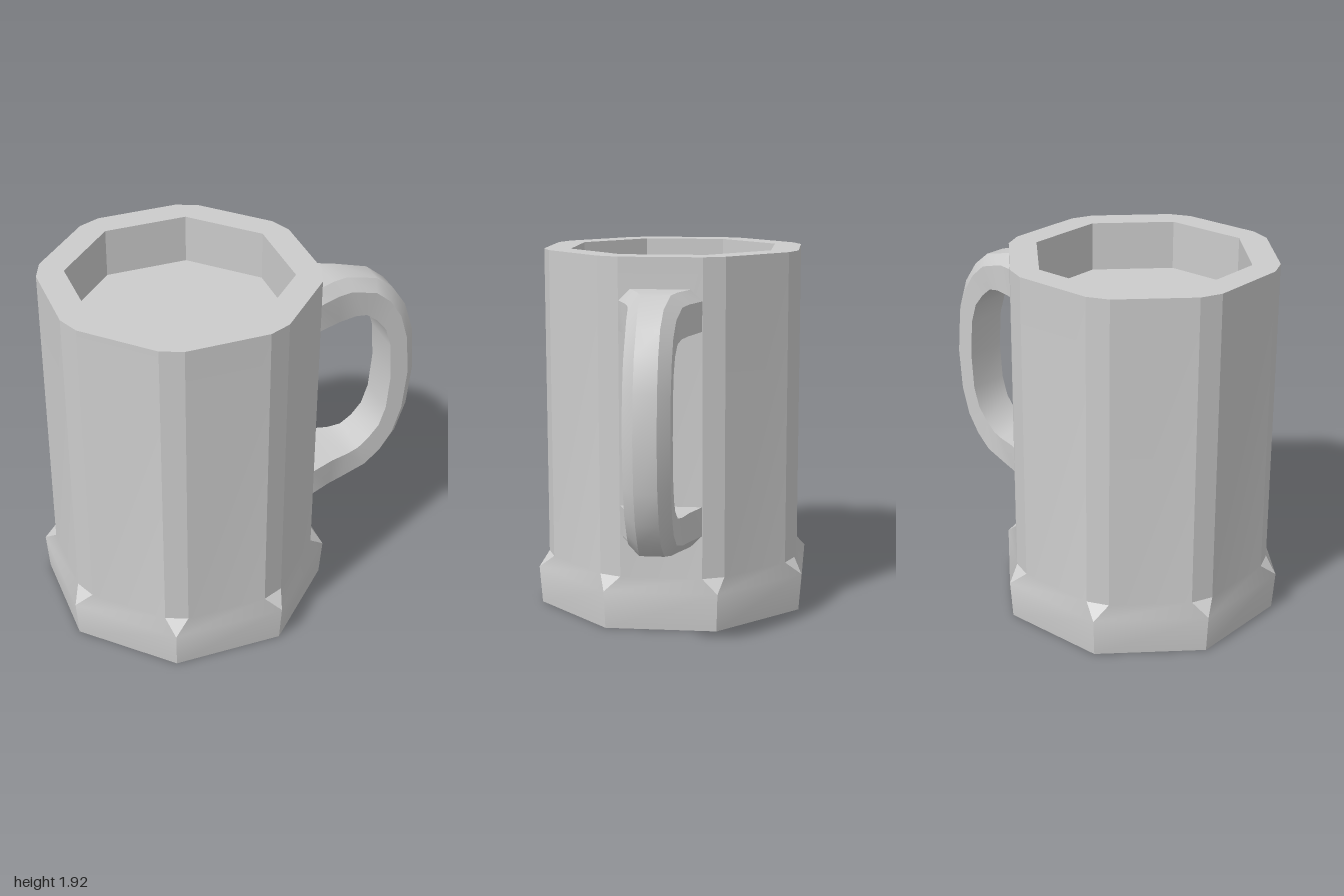
import * as THREE from 'three';
import { mergeGeometries } from 'three/addons/utils/BufferGeometryUtils.js';

const CENTRE_Z = 0.23;
const HEIGHT = 1.92;

// Skins closed rings of points. Every side is its own strip, so lengthwise
// edges stay sharp; a strip is smooth along its length unless isFlat(side).
function skin(rings, isFlat = () => false) {
  const count = rings[0].length;
  const parts = [];
  const addStrip = (rows, j) => {
    const pos = [], index = [];
    rows.forEach((ring, i) => {
      pos.push(...ring[j], ...ring[(j + 1) % count]);
      if (i > 0) {
        const a = 2 * i - 2;
        index.push(a, a + 2, a + 1, a + 2, a + 3, a + 1);
      }
    });
    const geo = new THREE.BufferGeometry();
    geo.setAttribute('position', new THREE.Float32BufferAttribute(pos, 3));
    geo.setIndex(index);
    geo.computeVertexNormals();
    parts.push(geo);
  };
  for (let j = 0; j < count; j++) {
    if (isFlat(j)) {
      for (let i = 1; i < rings.length; i++) addStrip([rings[i - 1], rings[i]], j);
    } else addStrip(rings, j);
  }
  return mergeGeometries(parts);
}

// Octagon whose corners are cut to a facet of half-width w at radius r
function cutOctagon(r, w, y) {
  const ring = [];
  for (let k = 0; k < 8; k++) {
    const c = Math.cos(k * Math.PI / 4), s = Math.sin(k * Math.PI / 4);
    for (const v of [-w, w]) ring.push([r * c - v * s, y, r * s + v * c]);
  }
  return ring;
}

export function createModel() {
  const model = new THREE.Group();
  const material = new THREE.MeshStandardMaterial({ color: 0xcccccc });
  const add = (name, geo, y = 0, mat = material) => {
    const mesh = new THREE.Mesh(geo, mat);
    mesh.name = name;
    mesh.position.set(0, y, CENTRE_Z);
    model.add(mesh);
    return mesh;
  };

  // Body: sharp-cornered foot running into a wall with cut corners
  add('body', skin([
    cutOctagon(0.755, 0, 0),
    cutOctagon(0.77, 0, 0.2),
    cutOctagon(0.70, 0.06, 0.27),
    cutOctagon(0.70, 0.06, HEIGHT),
  ], j => j % 2 === 0));
  add('base', new THREE.CircleGeometry(0.755, 8).rotateX(Math.PI / 2));

  // Rim with an octagonal opening
  const innerR = 0.57, depth = 0.26;
  const rim = new THREE.Shape(cutOctagon(0.70, 0.06, 0).map(p => new THREE.Vector2(p[0], p[2])));
  const hole = [];
  for (let k = 0; k < 8; k++) {
    hole.push(new THREE.Vector2(innerR * Math.cos(k * Math.PI / 4), innerR * Math.sin(k * Math.PI / 4)));
  }
  rim.holes.push(new THREE.Path(hole));
  add('rim', new THREE.ShapeGeometry(rim).rotateX(-Math.PI / 2), HEIGHT);

  // Shallow well and the surface of the drink
  const wellMaterial = new THREE.MeshStandardMaterial({
    color: 0xcccccc, flatShading: true, side: THREE.BackSide,
  });
  add('innerWall', new THREE.CylinderGeometry(innerR, innerR, depth, 8, 1, true), HEIGHT - depth / 2, wellMaterial);
  add('drinkSurface', new THREE.CircleGeometry(innerR, 8).rotateX(-Math.PI / 2), HEIGHT - depth);

  // Handle: upper half as [outer reach, outer y, inner reach, inner y, half-width]
  const upper = [
    [0.62, 1.76, 0.62, 1.55, 0.21],
    [0.67, 1.76, 0.67, 1.55, 0.21],
    [0.79, 1.758, 0.81, 1.547, 0.157],
    [0.87, 1.752, 0.91, 1.545, 0.133],
    [1.05, 1.706, 0.98, 1.53, 0.12],
    [1.15, 1.626, 1.043, 1.48, 0.115],
    [1.23, 1.51, 1.10, 1.41, 0.115],
    [1.286, 1.34, 1.135, 1.30, 0.115],
    [1.307, 1.10, 1.15, 1.10, 0.115],
  ];
  const midY = 1.10;
  const lower = upper.slice(0, -1).reverse()
    .map(([a, b, c, d, w]) => [a, 2 * midY - b, c, 2 * midY - d, w]);
  const bevel = 0.058;
  const c = Math.cos(Math.PI / 8), s = Math.sin(Math.PI / 8);
  const place = (u, y, v) => [u * s + v * c, y, -u * c + v * s];
  const sections = [...upper, ...lower].map(([ou, oy, iu, iy, w]) => {
    const t = bevel / Math.hypot(iu - ou, iy - oy);
    const bu = ou + (iu - ou) * t, by = oy + (iy - oy) * t;
    const f = w - bevel;
    return [
      place(ou, oy, f), place(ou, oy, -f), place(bu, by, -w),
      place(iu, iy, -w), place(iu, iy, w), place(bu, by, w),
    ];
  });
  add('handle', skin(sections));

  return model;
}
